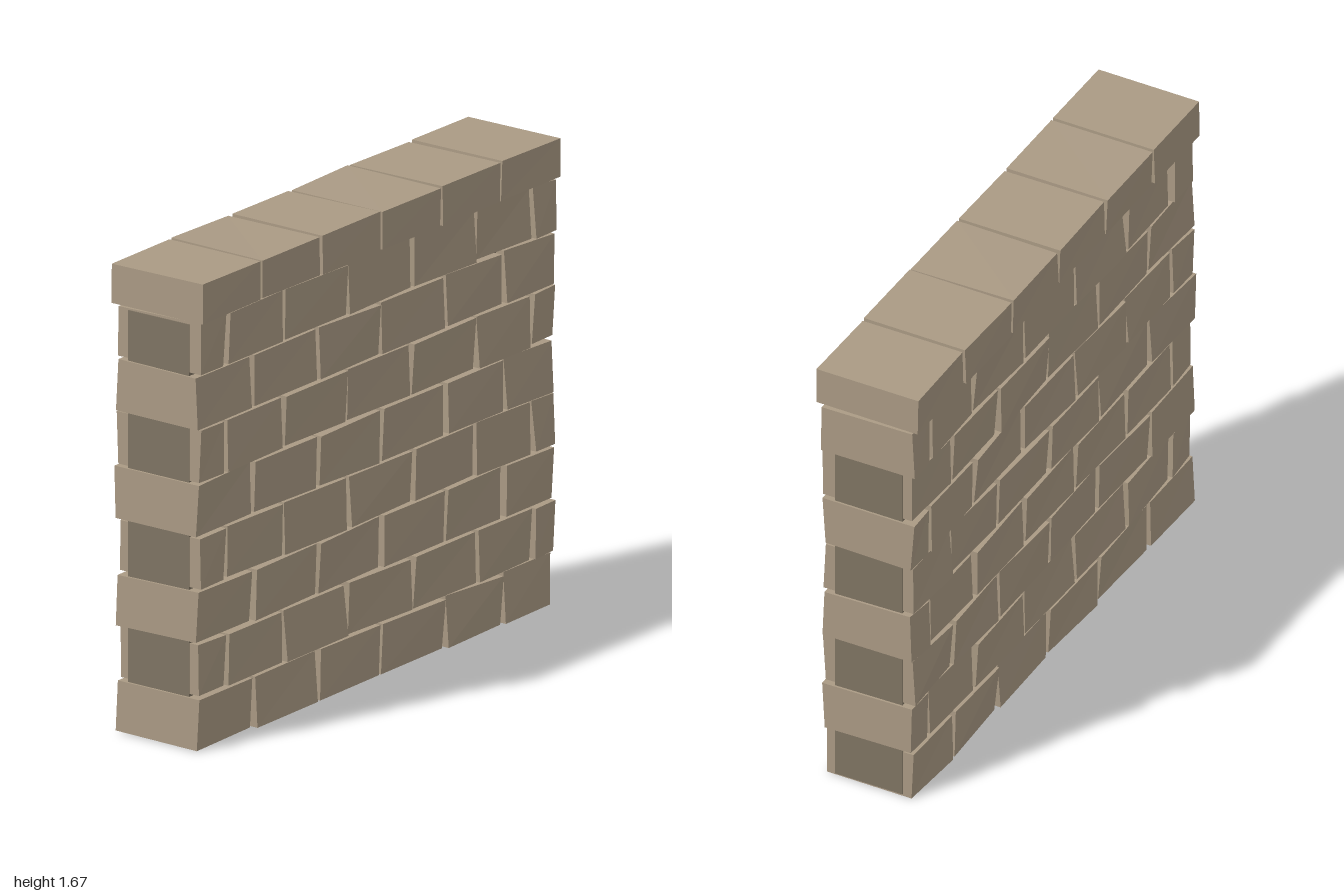
import * as THREE from 'three';

const brickMat = new THREE.MeshStandardMaterial({ color: 0xaa9a84, flatShading: true });
brickMat.name = 'tan stone';
const mortarMat = new THREE.MeshStandardMaterial({ color: 0x7f7463, flatShading: true });
mortarMat.name = 'dark mortar';

// Small repeatable number source, -1 to 1
let seed = 7;
function wobble() {
  seed = (seed * 16807) % 2147483647;
  return (seed / 2147483647) * 2 - 1;
}

// Box between two x and two y limits whose eight corners are nudged a little
function roughBlock(name, x0, x1, y0, y1, depth, jitter) {
  const geo = new THREE.BoxGeometry(x1 - x0, y1 - y0, depth);
  const nudges = Array.from({ length: 8 }, () => jitter.map((j) => j * wobble()));
  const p = geo.attributes.position;
  const cx = (x0 + x1) / 2, cy = (y0 + y1) / 2;
  for (let i = 0; i < p.count; i++) {
    const x = p.getX(i), y = p.getY(i), z = p.getZ(i);
    const n = nudges[(x > 0 ? 1 : 0) + (y > 0 ? 2 : 0) + (z > 0 ? 4 : 0)];
    const atEnd = Math.abs(cx + x) > 0.97; // wall ends stay straight
    p.setXYZ(i, cx + x + (atEnd ? 0 : n[0]), cy + y + n[1], z + n[2]);
  }
  geo.computeVertexNormals();
  const mesh = new THREE.Mesh(geo, brickMat);
  mesh.name = name;
  return mesh;
}

// One course of blocks separated by the given joints
function course(name, left, right, joints, gap, y0, y1, depth, jitter) {
  const group = new THREE.Group();
  group.name = name;
  const edges = [left - gap / 2, ...joints, right + gap / 2];
  for (let i = 0; i < edges.length - 1; i++) {
    group.add(roughBlock('block', edges[i] + gap / 2, edges[i + 1] - gap / 2, y0, y1, depth, jitter));
  }
  return group;
}

export function createModel() {
  const wall = new THREE.Group();
  wall.name = 'brickWall';

  // Recessed mortar, showing in the joints and at alternate ends
  const core = new THREE.Mesh(new THREE.BoxGeometry(1.984, 1.505, 0.26), mortarMat);
  core.name = 'mortarCore';
  core.position.y = 0.015 + 1.505 / 2;
  wall.add(core);

  // Eight staggered courses
  const jointsOdd = [-0.685, -0.325, 0.03, 0.39, 0.715];
  const jointsEven = [-0.84, -0.515, -0.155, 0.205, 0.56, 0.875];
  const pitch = 0.191;
  for (let r = 0; r < 8; r++) {
    const even = r % 2 === 1;
    const y = 0.009 + r * pitch;
    wall.add(course('brickCourse', even ? -0.988 : -1, even ? 1 : 0.988,
      even ? jointsEven : jointsOdd, 0.021, y, y + 0.182, 0.344, [0.004, 0.004, 0.01]));
  }

  // Wider capping stones
  wall.add(course('capStones', -1, 1, [-0.67, -0.335, 0, 0.335, 0.67], 0.014,
    1.537, 1.676, 0.39, [0.003, 0.003, 0.004]));
  return wall;
}
